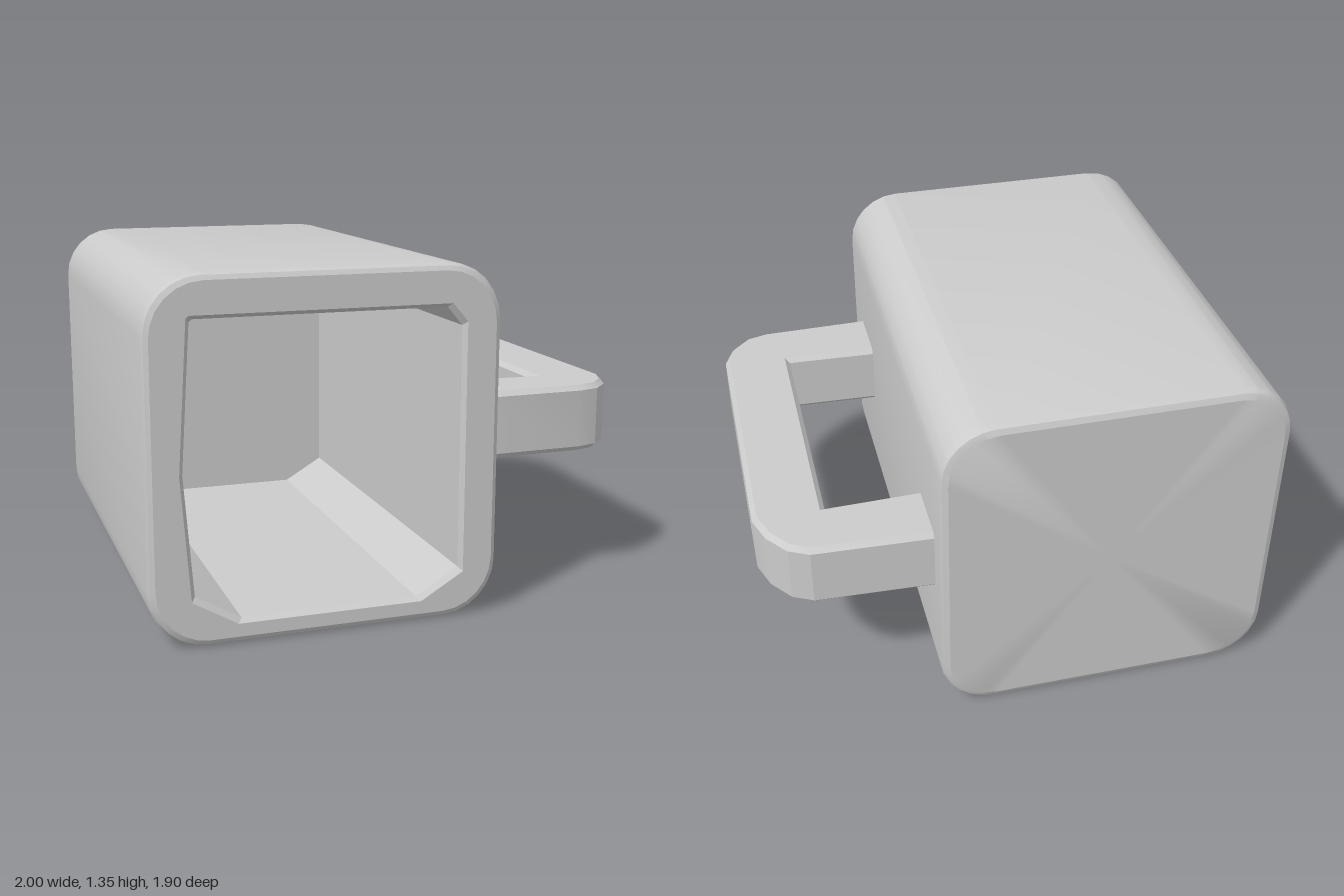
import * as THREE from 'three';
import { toCreasedNormals } from 'three/addons/utils/BufferGeometryUtils.js';

const STEPS = 6;

// Rectangle outline, counter-clockwise from lower right; each corner is [rx, ry], arc or straight cut
function outline(x0, x1, y0, y1, corners, z, cut = false, leftBulge = 0) {
  const pts = [];
  corners.forEach(([rx, ry], k) => {
    const right = k < 2, top = k === 1 || k === 2;
    const cx = right ? x1 - rx : x0 + rx, cy = top ? y1 - ry : y0 + ry;
    for (let i = 0; i <= STEPS; i++) {
      const a = ((k - 1) + i / STEPS) * Math.PI / 2;
      let c = Math.cos(a), s = Math.sin(a);
      if (cut) {
        const d = Math.abs(c) + Math.abs(s);
        c /= d; s /= d;
      }
      pts.push(new THREE.Vector3(cx + rx * c, cy + ry * s, z));
    }
    if (k === 2) pts.push(new THREE.Vector3(x0 - leftBulge, (y0 + y1) / 2, z));
  });
  return pts;
}

// Skin over a sequence of rings with equal point counts
function loft(rings) {
  const pos = [];
  const tri = (a, b, c) => {
    if (a.distanceTo(b) < 1e-6 || b.distanceTo(c) < 1e-6 || c.distanceTo(a) < 1e-6) return;
    for (const p of [a, b, c]) pos.push(p.x, p.y, p.z);
  };
  for (let r = 0; r < rings.length - 1; r++) {
    const A = rings[r], B = rings[r + 1], n = A.length;
    for (let i = 0; i < n; i++) {
      const j = (i + 1) % n;
      tri(A[i], A[j], B[j]);
      tri(A[i], B[j], B[i]);
    }
  }
  const g = new THREE.BufferGeometry();
  g.setAttribute('position', new THREE.Float32BufferAttribute(pos, 3));
  return toCreasedNormals(g, 0.4);
}

export function createModel() {
  const model = new THREE.Group();
  const material = new THREE.MeshStandardMaterial({ color: 0xcccccc });
  const add = (name, geometry) => {
    const mesh = new THREE.Mesh(geometry, material);
    mesh.name = name;
    model.add(mesh);
  };

  // Square cup lying on its side: outside, rim, cavity and cavity floor in one skin
  const outer = (inset, z) => {
    const r = 0.21 - inset * 0.5;
    return outline(-1 + inset, 0.345 - inset, inset, 1.35 - inset, Array(4).fill([r, r]), z);
  };
  const inner = (grow, z) => outline(-0.83 - grow, 0.19 + grow, 0.09 - grow, 1.19 + grow,
    [[0.17, 0.1], [0.06, 0.07], [0.01, 0.01], [0.17, 0.1]], z, true, 0.035);
  const centre = (z) => outer(0, z).map(() => new THREE.Vector3(-0.32, 0.66, z));
  add('cup', loft([
    centre(-0.955), outer(0.03, -0.955), outer(0.008, -0.945), outer(0, -0.92),
    outer(0, 0.92), outer(0.008, 0.94), outer(0.025, 0.95),
    inner(0.015, 0.95), inner(0, 0.93), inner(0, -0.78), centre(-0.78),
  ]));

  // Handle: chamfered loop outline, points as [x, z]
  const loop = [
    [0.32, -0.84], [0.81, -0.82], [0.89, -0.78], [0.96, -0.69], [1, -0.58],
    [1, 0.54], [0.96, 0.64], [0.89, 0.71], [0.8, 0.735], [0.32, 0.745],
    [0.32, 0.465], [0.72, 0.48], [0.72, -0.575], [0.32, -0.565],
  ];
  const bevel = 0.02;
  const shape = new THREE.Shape(loop.map(([x, z]) => new THREE.Vector2(x, -z)));
  const handle = new THREE.ExtrudeGeometry(shape, {
    depth: 0.27 - 2 * bevel, bevelThickness: bevel, bevelSize: bevel,
    bevelOffset: -bevel, bevelSegments: 1,
  });
  handle.rotateX(-Math.PI / 2).translate(0, 0.545 + bevel, 0);
  add('handle', toCreasedNormals(handle, 0.4));

  return model;
}
